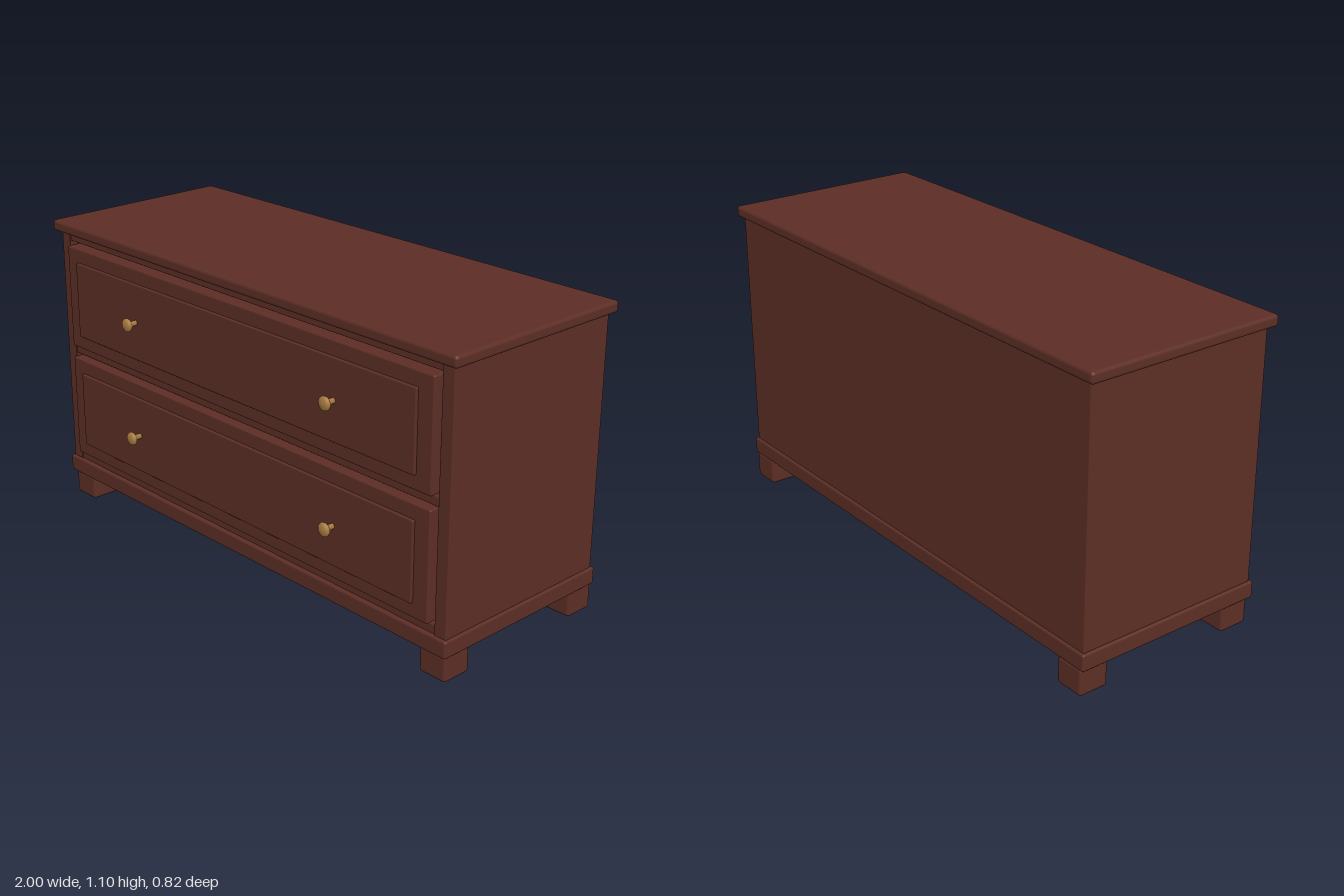
import * as THREE from 'three';
import { RoundedBoxGeometry } from 'three/addons/geometries/RoundedBoxGeometry.js';

export function createModel() {
  const model = new THREE.Group();
  model.name = 'chestOfDrawers';

  const wood = new THREE.MeshStandardMaterial({ color: 0x5c2e25 });
  wood.name = 'reddish brown wood';
  const brass = new THREE.MeshStandardMaterial({ color: 0xa87b40 });
  brass.name = 'aged brass';

  // Softly rounded wooden block given by its limits on each axis
  function block(name, [x0, x1], [y0, y1], [z0, z1], radius = 0.004, parent = model) {
    const geometry = new RoundedBoxGeometry(x1 - x0, y1 - y0, z1 - z0, 2, radius);
    const mesh = new THREE.Mesh(geometry, wood);
    mesh.position.set((x0 + x1) / 2, (y0 + y1) / 2, (z0 + z1) / 2);
    mesh.name = name;
    parent.add(mesh);
    return mesh;
  }

  // Cabinet body, top board and plinth
  block('cabinetBody', [-0.975, 0.975], [0.15, 1.06], [-0.39, 0.295], 0.003);
  block('topBoard', [-1, 1], [1.057, 1.098], [-0.408, 0.35], 0.012);
  block('plinth', [-0.985, 0.985], [0.095, 0.157], [-0.4, 0.338], 0.008);

  // Face frame: two stiles and three rails
  for (const side of [-1, 1]) {
    const xs = [side * 0.927, side * 0.975].sort((a, b) => a - b);
    block(side > 0 ? 'leftStile' : 'rightStile', xs, [0.155, 1.058], [0.29, 0.326], 0.003);
  }
  const rails = [
    ['topRail', 1.027, 1.058],
    ['middleRail', 0.591, 0.624],
    ['bottomRail', 0.155, 0.188],
  ];
  for (const [name, y0, y1] of rails) {
    block(name, [-0.928, 0.928], [y0, y1], [0.285, 0.322], 0.003);
  }

  // Four block feet
  for (const side of [-1, 1]) {
    const xs = [side * 0.863, side * 0.975].sort((a, b) => a - b);
    const label = side > 0 ? 'Left' : 'Right';
    block('front' + label + 'Foot', xs, [0, 0.1], [0.21, 0.323], 0.012);
    block('back' + label + 'Foot', xs, [0, 0.1], [-0.4, -0.287], 0.012);
  }

  // Turned knob: thin stem flaring into a domed head
  const knobProfile = [
    [0, 0], [0.01, 0], [0.01, 0.02], [0.014, 0.026], [0.023, 0.034],
    [0.025, 0.039], [0.023, 0.045], [0.016, 0.05], [0, 0.052],
  ].map(([r, y]) => new THREE.Vector2(r, y));
  const knobGeometry = new THREE.LatheGeometry(knobProfile, 20).rotateX(Math.PI / 2);

  // Two drawers, each with a raised panel and a pair of knobs
  const drawers = [
    ['upperDrawer', 0.629, 1.016],
    ['lowerDrawer', 0.195, 0.584],
  ];
  for (const [name, y0, y1] of drawers) {
    const drawer = new THREE.Group();
    drawer.name = name;
    block('drawerFront', [-0.915, 0.915], [y0, y1], [0.285, 0.347], 0.006, drawer);
    block('raisedPanel', [-0.853, 0.853], [y0 + 0.052, y1 - 0.052], [0.335, 0.358], 0.004, drawer);
    for (const x of [-0.504, 0.504]) {
      const knob = new THREE.Mesh(knobGeometry, brass);
      knob.name = x > 0 ? 'leftKnob' : 'rightKnob';
      knob.position.set(x, (y0 + y1) / 2, 0.356);
      drawer.add(knob);
    }
    model.add(drawer);
  }

  return model;
}
